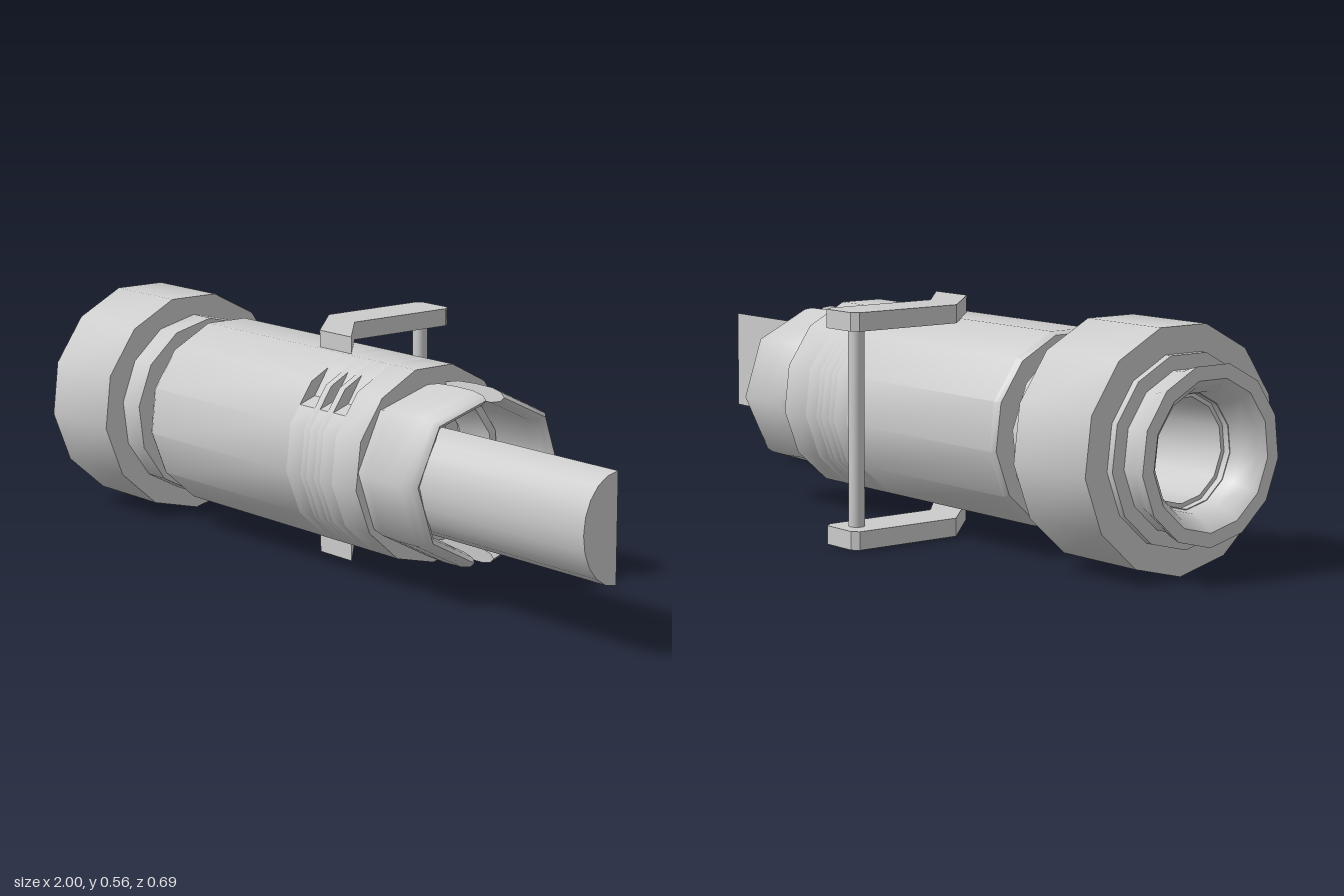
import * as THREE from 'three';
import { toCreasedNormals } from 'three/addons/utils/BufferGeometryUtils.js';

const SIDES = 13;
const CY = 0.286, CZ = 0.06; // main axis, parallel to x
const material = new THREE.MeshStandardMaterial({ color: 0xcccccc });

function part(name, geometry, parent, crease = 0.6) {
  const mesh = new THREE.Mesh(toCreasedNormals(geometry, crease), material);
  mesh.name = name;
  parent.add(mesh);
  return mesh;
}

// Revolve a closed profile of [x, radius] about the x axis; start = angle of the first corner
function ring(profile, start = Math.PI / 2) {
  const pts = [...profile, profile[0]].map(([x, r]) => new THREE.Vector2(r, x));
  return new THREE.LatheGeometry(pts, SIDES, start).rotateZ(-Math.PI / 2);
}

const hollow = (x0, x1, outer, inner) => [[x0, outer], [x1, outer], [x1, inner], [x0, inner]];

// Extrude a [z, y] outline along x
function alongX(shape, x0, x1) {
  const g = new THREE.ExtrudeGeometry(shape, { depth: x1 - x0, bevelEnabled: false });
  return g.rotateY(Math.PI / 2).translate(x0, 0, 0);
}

// Corners of the body polygon, first one at the bottom, as Vector2(-z, y)
function polygon(r) {
  return Array.from({ length: SIDES }, (_, k) => {
    const a = -Math.PI / 2 + (k * 2 * Math.PI) / SIDES;
    return new THREE.Vector2(-r * Math.cos(a), r * Math.sin(a));
  });
}

// Body section with one corner cut back to an inward notch
function notchedSection() {
  const p = polygon(0.24);
  const notch = [p[4].clone().lerp(p[5], 0.45), new THREE.Vector2(-0.15, 0.143), p[5].clone().lerp(p[6], 0.5)];
  const shape = new THREE.Shape([...p.slice(0, 5), ...notch, ...p.slice(6)]);
  shape.holes.push(new THREE.Path(polygon(0.165)));
  return shape;
}

function plainSection() {
  const shape = new THREE.Shape(polygon(0.24));
  shape.holes.push(new THREE.Path(polygon(0.165)));
  return shape;
}

// Rounded jaw: a thick section [x, inner-to-outer] carried along an angular arc of [z, y] points
function jaw(path) {
  const section = [[0.275, 0.65], [0.32, 0.92], [0.38, 1], [0.44, 0.97], [0.47, 0.8], [0.482, 0.5],
    [0.472, 0.2], [0.44, 0], [0.275, 0]];
  const n = section.length, pos = [], index = [];
  path.forEach(([z, y]) => section.forEach(([x, t]) => {
    const s = 0.83 + 0.17 * t;
    pos.push(x, y * s, z * s);
  }));
  for (let i = 0; i < path.length - 1; i++) {
    for (let j = 0; j < n; j++) {
      const a = i * n + j, b = i * n + ((j + 1) % n);
      index.push(a, a + n, b, b, a + n, b + n);
    }
  }
  const last = (path.length - 1) * n;
  for (let j = 1; j < n - 1; j++) {
    index.push(0, j, j + 1, last, last + j + 1, last + j);
  }
  const g = new THREE.BufferGeometry();
  g.setAttribute('position', new THREE.Float32BufferAttribute(pos, 3));
  g.setIndex(index);
  return g;
}

export function createModel() {
  const model = new THREE.Group();
  model.name = 'tubularDevice';
  const barrel = new THREE.Group();
  barrel.name = 'barrel';
  barrel.position.set(0, CY, CZ);
  model.add(barrel);

  // Rear end: flared lip, collar, wide ring, flange and neck
  part('rearLip', ring([[-1, 0.205], [-0.975, 0.198], [-0.95, 0.188], [-0.91, 0.188], [-0.91, 0.13],
    [-0.95, 0.137], [-0.985, 0.155], [-1, 0.172]]), barrel);
  part('rearCollar', ring(hollow(-0.922, -0.9, 0.222, 0.13)), barrel);
  part('rearRing', ring(hollow(-0.905, -0.665, 0.285, 0.12)), barrel);
  part('flange', ring(hollow(-0.67, -0.595, 0.23, 0.12), -Math.PI / 2), barrel);
  part('neck', ring(hollow(-0.6, -0.5, 0.152, 0.12)), barrel);

  // Body tube with three notched slots on its upper front
  part('bodyRear', ring([[-0.54, 0.232], [-0.525, 0.24], [0.02, 0.24], [0.02, 0.165],
    [-0.5, 0.165], [-0.5, 0.12], [-0.54, 0.12]]), barrel);
  const cuts = [0.02, 0.075, 0.095, 0.125, 0.145, 0.19];
  for (let i = 0; i < cuts.length - 1; i++) {
    const slotted = i % 2 === 0;
    part(slotted ? 'bodySlot' : 'bodyRib',
      alongX(slotted ? notchedSection() : plainSection(), cuts[i], cuts[i + 1]), barrel);
  }
  part('bodyFront', ring(hollow(0.19, 0.28, 0.24, 0.165)), barrel);
  part('innerSleeve', ring(hollow(0.2, 0.31, 0.18, 0.16)), barrel);

  // Two jaws around the front opening
  part('frontJaw', jaw([[0.02, 0.205], [0.175, 0.16], [0.245, 0.014], [0.195, -0.136], [0.055, -0.21]]), barrel, 0.9);
  part('backJaw', jaw([[-0.01, -0.21], [-0.165, -0.16], [-0.235, -0.016], [-0.185, 0.134], [-0.04, 0.204]]), barrel, 0.9);

  // Long half-round blade reaching out of the front jaw
  const half = [];
  for (let i = 0; i <= 10; i++) {
    const a = -Math.PI / 2 + (i * Math.PI) / 10;
    half.push(new THREE.Vector2(-0.11 - 0.1 * Math.cos(a), 0.003 + 0.127 * Math.sin(a)));
  }
  part('blade', alongX(new THREE.Shape(half), 0.25, 1), barrel);

  // Handle: two bent arms joined by an upright rod
  const handle = new THREE.Group();
  handle.name = 'handle';
  model.add(handle);
  const outline = [[-0.245, -0.335], [-0.23, -0.35], [-0.137, -0.35], [-0.12, -0.33], [-0.12, -0.03],
    [0.03, 0.105], [-0.09, 0.105], [-0.245, -0.05]];
  const arm = new THREE.Shape(outline.map(([x, z]) => new THREE.Vector2(x, -z)));
  for (const [name, y] of [['lowerArm', 0.005], ['upperArm', 0.516]]) {
    const g = new THREE.ExtrudeGeometry(arm, { depth: 0.044, bevelEnabled: false });
    part(name, g.rotateX(-Math.PI / 2).translate(0, y, 0), handle, 0.5);
  }
  const rod = part('handleRod', new THREE.CylinderGeometry(0.019, 0.019, 0.48, 10), handle, 0.8);
  rod.position.set(-0.182, 0.283, -0.298);

  return model;
}
